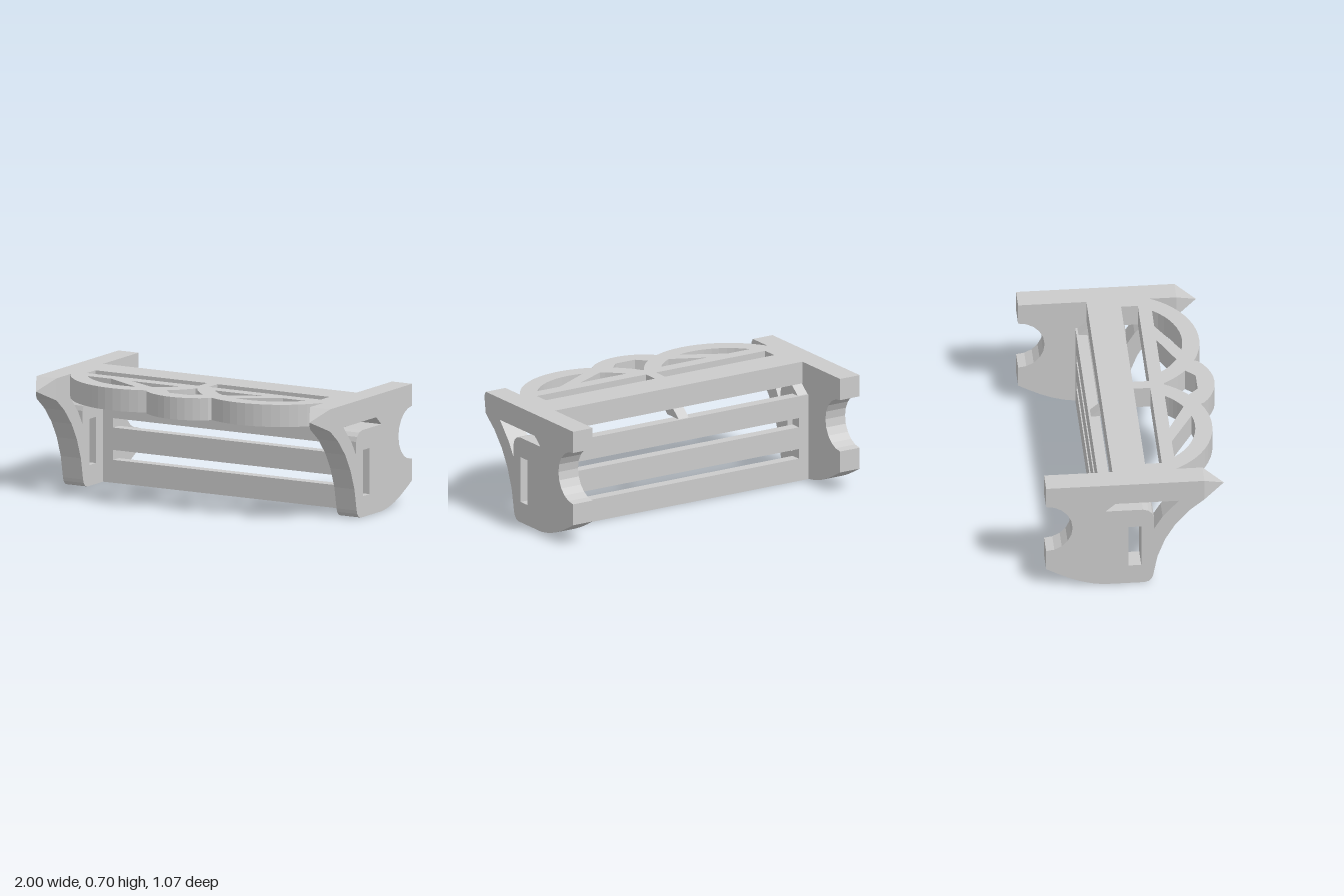
import * as THREE from 'three';

const material = new THREE.MeshStandardMaterial({ color: 0xcccccc, flatShading: true });
const TOP = 0.7, THICK = 0.132, INNER = 0.863;
const UNDER = TOP - THICK, PANEL_TOP = 0.517;

const vectors = (pts) => pts.map(([a, b]) => new THREE.Vector2(a, b));

// Points on a circle given in (x, z), from x = x0 to x = x1 on its front half
function arc(cx, cz, r, x0, x1, n) {
  const a0 = Math.acos((x0 - cx) / r), a1 = Math.acos((x1 - cx) / r);
  return Array.from({ length: n + 1 }, (_, i) => {
    const a = a0 + (a1 - a0) * i / n;
    return [cx + r * Math.cos(a), cz + r * Math.sin(a)];
  });
}

// Outlines run counter-clockwise so that the hole walls face the right way
function extrude(outline, holes, depth) {
  const shape = new THREE.Shape(vectors(outline));
  for (const h of holes) shape.holes.push(new THREE.Path(vectors(h)));
  return new THREE.ExtrudeGeometry(shape, { depth, bevelEnabled: false });
}

// Profile in (z, y), extruded along x from x0 to x1
function alongX(outline, holes, x0, x1) {
  return extrude(outline, holes, x1 - x0).rotateY(-Math.PI / 2).translate(x1, 0, 0);
}

const rect = (a0, a1, b0, b1) => [[a0, b0], [a1, b0], [a1, b1], [a0, b1]];
const mirror = (pts) => pts.map(([x, z]) => [-x, z]).reverse();

export function createModel() {
  const group = new THREE.Group();
  const add = (name, geometry) => {
    const mesh = new THREE.Mesh(geometry, material);
    mesh.name = name;
    group.add(mesh);
  };

  // Side brackets with a round notch at the back
  const notch = Array.from({ length: 11 }, (_, i) => {
    const a = -Math.PI / 2 + Math.PI * i / 10;
    return [-0.537 + 0.155 * Math.cos(a), 0.413 + 0.157 * Math.sin(a)];
  });
  const sideOutline = [
    [0.39, TOP], [0.39, UNDER], [0.3, 0.495], [0.22, 0.402], [0.16, 0.3], [0.115, 0.18],
    [0.09, 0.05], [0.083, 0.028], [0.066, 0.008], [0.04, 0], [-0.2, 0], [-0.27, 0.011],
    [-0.34, 0.031], [-0.41, 0.06], [-0.48, 0.096], [-0.537, 0.128], ...notch, [-0.537, TOP],
  ].reverse();
  const sideSlot = rect(-0.055, 0.02, 0.124, 0.398);
  const sideOpening = [
    [0.24, UNDER], [0.145, 0.46], [0.095, 0.378], [0.095, 0.458], [0.085, 0.486],
    [0.062, 0.508], [0.03, PANEL_TOP], [-0.19, PANEL_TOP], [-0.13, UNDER],
  ];
  for (const [side, x0] of [['left', INNER], ['right', -1]]) {
    const x1 = x0 + 1 - INNER;
    add(side + 'Bracket', alongX(sideOutline, [sideSlot, sideOpening], x0, x1));
    // Pyramid point on the front end
    const tip = new THREE.ConeGeometry(Math.SQRT1_2, 1, 4).rotateY(Math.PI / 4).rotateX(Math.PI / 2);
    tip.scale(1 - INNER, THICK, 0.12).translate((x0 + x1) / 2, TOP - THICK / 2, 0.45);
    add(side + 'Point', tip);
  }

  // Top shelf with slots and the openwork of overlapping arcs at the front
  const FRONT = 0.235, CX = 0.433, CZ = -0.01, R = 0.495, r = 0.395;
  const bigArc = arc(CX, CZ, R, INNER, 0.22, 14);
  const outline = [
    [-INNER, -0.137], [INNER, -0.137], [INNER, FRONT], ...bigArc,
    ...arc(0, 0.217, 0.32, 0.21, -0.21, 10), ...mirror(bigArc), [-INNER, FRONT],
  ];
  const crescent = [...arc(CX, CZ, r, 0.742, 0.335, 10), [0.585, FRONT]];
  const wedge = [...arc(CX, CZ, r, 0.24, 0.123, 5), [0.445, FRONT]];
  const inner = arc(CX, CZ, R, 0.122, 0.006, 5);
  const centre = [...inner, ...mirror(inner), [-0.067, 0.432], [0.067, 0.432]];
  const shelfSlot = rect(0.035, 0.797, 0.06, 0.158);
  const holes = [crescent, wedge, shelfSlot].flatMap((h) => [h, mirror(h)]);
  add('shelf', extrude(outline, [...holes, centre], THICK)
    .rotateX(Math.PI / 2).translate(0, TOP, 0));

  // Thin slotted back panel
  const backSlots = [[0.136, 0.195], [0.328, 0.384]].map(([y0, y1]) => rect(-0.795, 0.79, y0, y1));
  add('backPanel', extrude(rect(-INNER, INNER, 0, PANEL_TOP), backSlots, 0.065).translate(0, 0, -0.202));

  // Slanted struts joining the panel to the shelf
  const strut = [[-0.01, UNDER], [-0.13, UNDER], [-0.19, PANEL_TOP], [-0.07, PANEL_TOP]];
  for (const [x0, x1] of [[-INNER, -0.795], [-0.035, 0.035], [0.79, INNER]]) {
    add('strut', alongX(strut, [], x0, x1));
  }
  return group;
}
